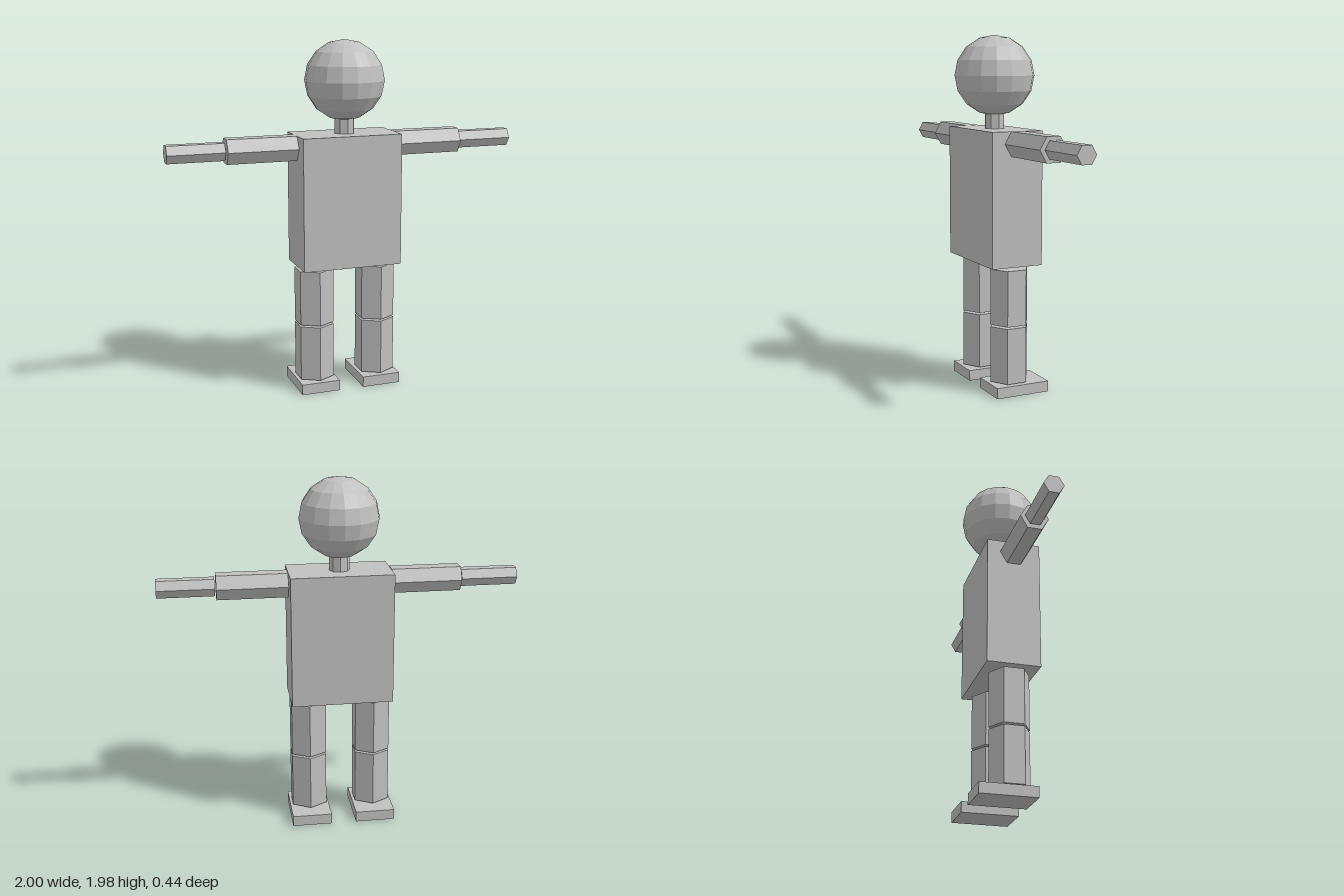
import * as THREE from 'three';

export function createModel() {
  const model = new THREE.Group();
  model.name = 'blockFigure';
  const grey = new THREE.MeshStandardMaterial({ color: 0xc0c0c0, flatShading: true });
  grey.name = 'plain grey';

  function add(name, geometry, x, y, z = 0) {
    const mesh = new THREE.Mesh(geometry, grey);
    mesh.name = name;
    mesh.position.set(x, y, z);
    model.add(mesh);
    return mesh;
  }

  // Prism standing between two heights
  function post(name, radius, y0, y1, x, sides = 6) {
    return add(name, new THREE.CylinderGeometry(radius, radius, y1 - y0, sides), x, (y0 + y1) / 2);
  }

  // Hexagonal prism lying along x, on the given side
  function bar(name, radius, x0, x1, side) {
    const geometry = new THREE.CylinderGeometry(radius, radius, x1 - x0, 6);
    geometry.rotateZ(Math.PI / 2);
    return add(name, geometry, (side * (x0 + x1)) / 2, 1.398);
  }

  // Head, neck and torso
  add('head', new THREE.SphereGeometry(0.222, 16, 8), 0, 1.758);
  post('neck', 0.057, 1.465, 1.57, 0, 8);
  add('torso', new THREE.BoxGeometry(0.57, 0.74, 0.3), 0, 1.095);

  // Limbs, mirrored left and right
  for (const [label, side] of [['left', 1], ['right', -1]]) {
    const legX = side * 0.183;
    bar(label + 'UpperArm', 0.078, 0.287, 0.678, side);
    bar(label + 'Forearm', 0.055, 0.685, 1.0, side);
    post(label + 'Thigh', 0.113, 0.393, 0.705, legX);
    post(label + 'Shin', 0.113, 0.068, 0.382, legX);
    add(label + 'Foot', new THREE.BoxGeometry(0.224, 0.06, 0.317), legX, 0.03, -0.033);
  }
  return model;
}
